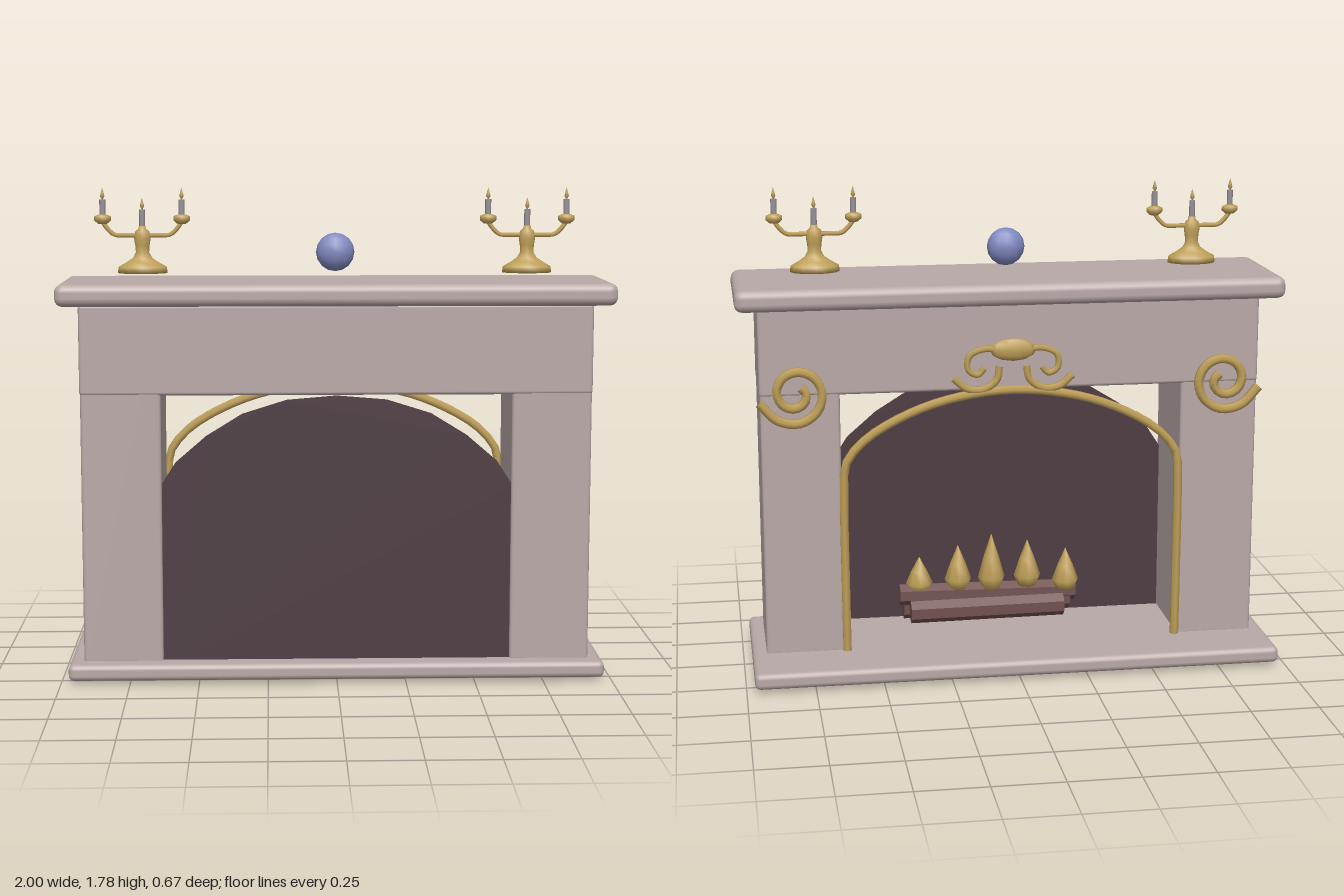
import * as THREE from 'three';
import { RoundedBoxGeometry } from 'three/addons/geometries/RoundedBoxGeometry.js';

const paint = (name, color) => {
  const m = new THREE.MeshStandardMaterial({ color });
  m.name = name;
  return m;
};
const V = (x, y, z) => new THREE.Vector3(x, y, z);

export function createModel() {
  const stone = paint('stone', 0xb8a8a6);
  const soot = paint('soot', 0x4d3b42);
  const gold = paint('gold', 0xbf9f58);
  const bark = paint('bark', 0x70504f);
  const wax = paint('wax', 0x969094);
  const glass = paint('blue glass', 0x8089c0);
  const root = new THREE.Group();
  root.name = 'fireplace';

  const add = (name, geometry, material, parent = root) => {
    const mesh = new THREE.Mesh(geometry, material);
    mesh.name = name;
    parent.add(mesh);
    return mesh;
  };
  // Bevelled block given by its limits on each axis
  const block = (name, [x0, x1], [y0, y1], [z0, z1], bevel) =>
    add(name, new RoundedBoxGeometry(x1 - x0, y1 - y0, z1 - z0, 2, bevel), stone)
      .position.set((x0 + x1) / 2, (y0 + y1) / 2, (z0 + z1) / 2);
  const tube = (name, points, radius, parent = root, steps = 32, closed = false) =>
    add(name, new THREE.TubeGeometry(new THREE.CatmullRomCurve3(points, closed, 'centripetal'),
      steps, radius, 6, closed), gold, parent);
  const lathe = (name, profile, material, parent, sides = 10) =>
    add(name, new THREE.LatheGeometry(profile.map(([r, y]) => new THREE.Vector2(r, y)), sides),
      material, parent);

  // Stone surround
  block('hearthSlab', [-0.97, 0.97], [0.02, 0.08], [-0.335, 0.335], 0.02);
  block('mantelShelf', [-1, 1], [1.37, 1.45], [-0.19, 0.32], 0.03);
  block('lintel', [-0.92, 0.92], [1.05, 1.375], [-0.11, 0.27], 0.012);
  for (const s of [-1, 1]) {
    block(s > 0 ? 'leftPillar' : 'rightPillar', s > 0 ? [0.63, 0.918] : [-0.918, -0.63],
      [0.07, 1.31], [-0.107, 0.267], 0.012);
  }

  // Arched back panel of the firebox
  const arch = [[0.635, 0.72], [0.58, 0.805], [0.47, 0.9], [0.34, 0.98], [0.18, 1.03], [0, 1.045]];
  const panel = new THREE.Shape();
  panel.moveTo(-0.635, 0.03);
  panel.lineTo(0.635, 0.03);
  arch.forEach(([x, y]) => panel.lineTo(x, y));
  arch.slice(0, -1).reverse().forEach(([x, y]) => panel.lineTo(-x, y));
  add('backPanel', new THREE.ExtrudeGeometry(panel, { depth: 0.02, bevelEnabled: false }), soot)
    .position.z = 0.235;

  // Gold arch frame: legs, curved top and the sill bar
  const z = -0.113;
  const half = [[0.62, 0.02], [0.622, 0.3], [0.622, 0.7], [0.615, 0.79], [0.56, 0.865],
    [0.45, 0.94], [0.26, 1.015]];
  tube('archFrame', [
    ...half.map(([x, y]) => V(x, y, z)), V(0, 1.05, z),
    ...half.slice().reverse().map(([x, y]) => V(-x, y, z)),
  ], 0.017, root, 60);
  const sill = add('sillBar', new THREE.CylinderGeometry(0.018, 0.018, 1.27, 6), gold);
  sill.rotation.z = Math.PI / 2;
  sill.position.set(0, 0.019, -0.108);

  // Scroll: a tail at the outer side that rolls under and inwards
  const scroll = (name, side, cx, cy, size, radius) => {
    const points = [V(side * (cx + size * 1.2), cy - size * 0.25, z - 0.005)];
    for (let i = 0; i <= 13; i++) {
      const a = -0.95 + (i / 13) * Math.PI * 3;
      const r = size * (1.05 - 0.78 * i / 13);
      points.push(V(side * (cx + r * Math.cos(-a - 1.9)), cy + r * Math.sin(-a - 1.9), z - 0.005));
    }
    return tube(name, points, radius, root, 40);
  };
  for (const s of [-1, 1]) {
    scroll('pillarScroll', s, 0.79, 1.06, 0.11, 0.018);
    // Crest curls beside the central shell
    tube('crestLowerCurl', [[0.22, 1.1], [0.17, 1.06], [0.11, 1.055], [0.06, 1.09], [0.05, 1.14]]
      .map(([x, y]) => V(s * x, y, z - 0.005)), 0.014);
    tube('crestUpperCurl', [[0.03, 1.19], [0.1, 1.205], [0.16, 1.18], [0.165, 1.13], [0.13, 1.11],
      [0.105, 1.135]].map(([x, y]) => V(s * x, y, z - 0.005)), 0.012);
  }
  const shell = add('crestShell', new THREE.SphereGeometry(1, 10, 6), gold);
  shell.scale.set(0.085, 0.042, 0.02);
  shell.position.set(0, 1.2, z - 0.008);

  // Logs
  const log = (a, b, radius) => {
    const dir = b.clone().sub(a);
    const geometry = new THREE.CylinderGeometry(radius, radius, dir.length(), 7).toNonIndexed();
    geometry.computeVertexNormals();
    const mesh = add('log', geometry, bark);
    mesh.position.copy(a).lerp(b, 0.5);
    mesh.quaternion.setFromUnitVectors(V(0, 1, 0), dir.normalize());
  };
  log(V(0.36, 0.14, 0.11), V(-0.23, 0.145, 0.11), 0.045);
  log(V(0.38, 0.13, 0.2), V(-0.27, 0.14, 0.208), 0.045);
  log(V(0.4, 0.195, 0.16), V(-0.29, 0.17, 0.205), 0.042);

  // Flames on the logs
  for (const [x, y, h] of [[0.32, 0.2, 0.14], [0.17, 0.2, 0.18], [0.04, 0.19, 0.23],
    [-0.1, 0.2, 0.19], [-0.25, 0.18, 0.17]]) {
    lathe('fireFlame', [[0, 0], [0.035, 0.04 * h], [0.052, 0.25 * h], [0.03, 0.6 * h], [0, h]],
      gold, root, 8).position.set(x, y, 0.17);
  }

  // Pair of three-armed candelabra
  const candle = (parent, x, y, h) => {
    const stick = add('candle', new THREE.CylinderGeometry(0.011, 0.011, h, 8), wax, parent);
    stick.position.set(x, y + h / 2, 0);
    lathe('candleFlame', [[0, 0], [0.009, 0.014], [0.006, 0.026], [0, 0.046]], gold, parent, 6)
      .position.set(x, y + h - 0.003, 0);
  };
  for (const s of [-1, 1]) {
    const holder = new THREE.Group();
    holder.name = s > 0 ? 'leftCandelabrum' : 'rightCandelabrum';
    holder.position.set(s * 0.7, 1.475, 0.063);
    holder.scale.z = 0.74;
    root.add(holder);
    lathe('stem', [[0, 0], [0.09, 0], [0.088, 0.022], [0.06, 0.038], [0.035, 0.055], [0.024, 0.075],
      [0.026, 0.1], [0.03, 0.125], [0.026, 0.15], [0.014, 0.16], [0.014, 0.17], [0, 0.17]],
    gold, holder, 12);
    candle(holder, 0, 0.165, 0.065);
    for (const t of [-1, 1]) {
      tube('arm', [V(0, 0.137, 0), V(t * 0.06, 0.137, 0), V(t * 0.1, 0.139, 0), V(t * 0.125, 0.16, 0),
        V(t * 0.143, 0.185, 0)], 0.009, holder, 12);
      lathe('cup', [[0, 0.178], [0.016, 0.178], [0.03, 0.19], [0.03, 0.205], [0.014, 0.212], [0, 0.212]],
        gold, holder, 8).position.x = t * 0.143;
      candle(holder, t * 0.143, 0.208, 0.058);
    }
  }

  // Blue ornament ball
  const ball = add('ornamentBall', new THREE.SphereGeometry(0.07, 12, 8), glass);
  ball.position.set(0, 1.55, 0.06);
  ball.scale.z = 0.74;

  return root;
}
